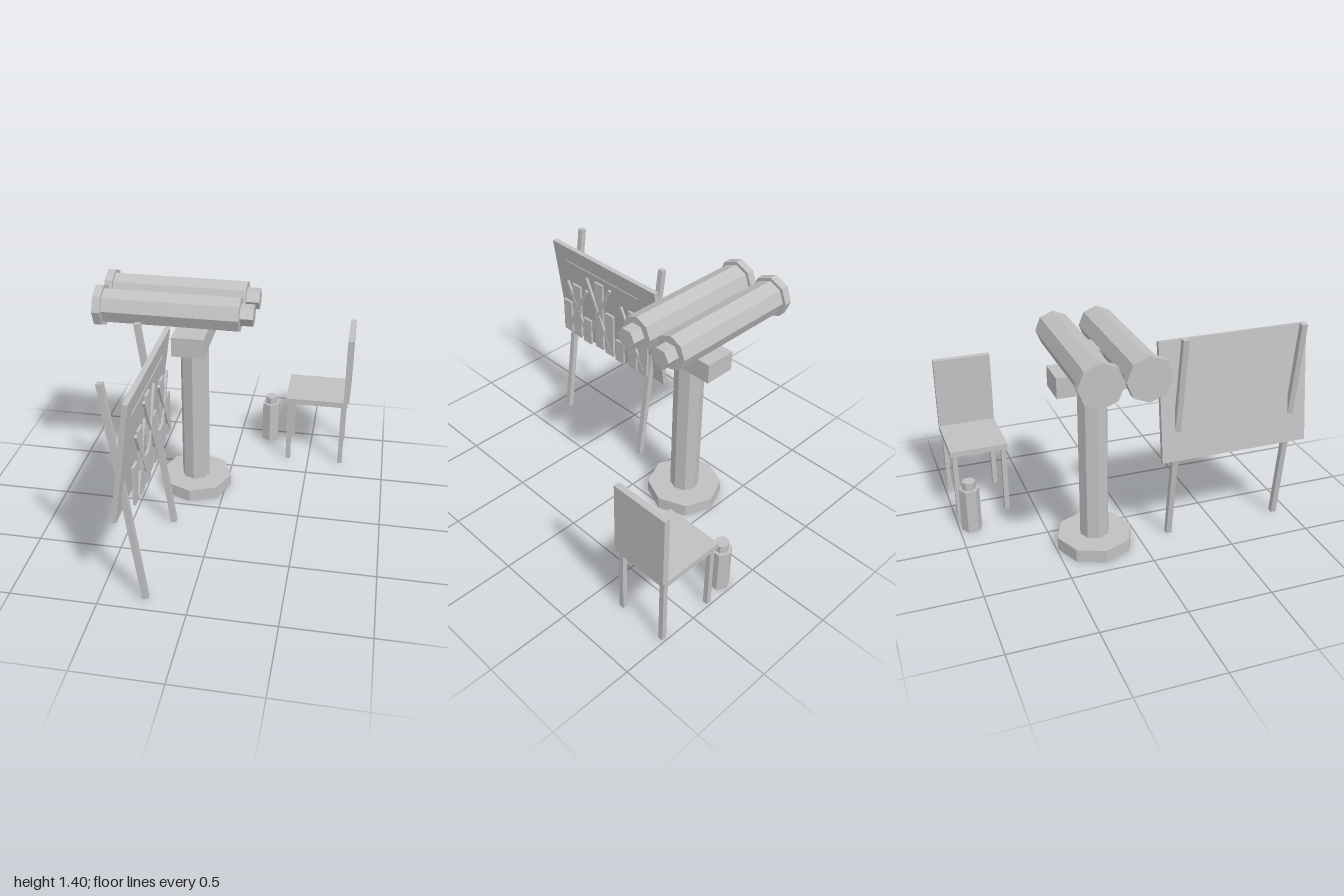
import * as THREE from 'three';

export function createModel() {
  const model = new THREE.Group();
  const grey = new THREE.MeshStandardMaterial({ color: 0xc0c0c0 });
  grey.name = 'plain grey';
  grey.flatShading = true;

  const group = (name) => {
    const g = new THREE.Group();
    g.name = name;
    model.add(g);
    return g;
  };
  const add = (parent, name, geometry, x, y, z) => {
    const mesh = new THREE.Mesh(geometry, grey);
    mesh.name = name;
    mesh.position.set(x, y, z);
    parent.add(mesh);
    return mesh;
  };
  // Box given by its extents on each axis
  const box = (parent, name, [x0, x1], [y0, y1], [z0, z1]) =>
    add(parent, name, new THREE.BoxGeometry(x1 - x0, y1 - y0, z1 - z0),
      (x0 + x1) / 2, (y0 + y1) / 2, (z0 + z1) / 2);
  // Upright prism
  const post = (parent, name, r, y0, y1, sides, x, z) =>
    add(parent, name, new THREE.CylinderGeometry(r, r, y1 - y0, sides), x, (y0 + y1) / 2, z);
  // Prism lying along x
  const barrel = (parent, name, r, x0, x1, sides, y, z) =>
    add(parent, name, new THREE.CylinderGeometry(r, r, x1 - x0, sides).rotateZ(Math.PI / 2),
      (x0 + x1) / 2, y, z);

  // Pedestal viewer
  const cx = -0.197, cz = -0.264;
  const viewer = group('binocularViewer');
  post(viewer, 'base', 0.228, 0, 0.08, 8, cx, cz);
  post(viewer, 'column', 0.088, 0.08, 1.02, 8, cx, cz);
  box(viewer, 'headBlock', [-0.29, -0.097], [1.02, 1.14], [cz - 0.228, cz + 0.228]);
  box(viewer, 'saddle', [-0.28, -0.125], [1.14, 1.27], [cz - 0.052, cz + 0.052]);
  for (const side of [-1, 1]) {
    const z = cz + side * 0.127, y = 1.272;
    barrel(viewer, 'tube', 0.1045, -0.703, 0.104, 8, y, z);
    barrel(viewer, 'lensRim', 0.125, -0.751, -0.703, 8, y, z);
    barrel(viewer, 'eyepiece', 0.064, 0.104, 0.181, 6, y, z);
  }

  // Leaning panel on two sloping legs
  const sign = group('informationBoard');
  add(sign, 'panel', new THREE.BoxGeometry(0.029, 0.709, 0.91), -0.323, 0.915, 0.545).rotation.z = -0.137;
  for (const z of [0.19, 0.903]) {
    add(sign, 'boardLeg', new THREE.BoxGeometry(0.034, 1.328, 0.034), -0.335, 0.663, z).rotation.z = 0.134;
  }
  box(sign, 'horizonLine', [-0.285, -0.27], [1.155, 1.161], [0.239, 0.903]);

  // Skyline of upright slabs, stepped in depth
  const tops = [0.863, 1.019, 0.815, 1.115, 0.938, 0.788, 1.04, 0.89];
  tops.forEach((top, i) => {
    const x = -0.274 + 0.006 * (i % 3), z = 0.893 - 0.1015 * i;
    box(sign, 'skylineSlab', [x - 0.0075, x + 0.0075], [0.638, top], [z - 0.0365, z + 0.0365]);
  });

  // Crossed struts over the skyline: centre z, low y, high y, half width
  for (const [z, y0, y1, w] of [[0.785, 0.67, 1.02, 0.092], [0.587, 0.67, 1.115, 0.108], [0.284, 0.67, 1.045, 0.1]]) {
    for (const lean of [-1, 1]) {
      const strut = add(sign, 'crossStrut',
        new THREE.BoxGeometry(0.014, Math.hypot(y1 - y0, 2 * w), 0.018), -0.265, (y0 + y1) / 2, z);
      strut.rotation.x = lean * Math.atan2(2 * w, y1 - y0);
    }
  }

  // Chair
  const chair = group('chair');
  box(chair, 'seat', [0.333, 0.739], [0.433, 0.47], [-1, -0.646]);
  box(chair, 'backrest', [0.713, 0.75], [0.47, 0.915], [-1, -0.646]);
  for (const x of [0.361, 0.714]) {
    for (const z of [-0.972, -0.67]) {
      box(chair, 'chairLeg', [x - 0.015, x + 0.015], [0, 0.433], [z - 0.015, z + 0.015]);
    }
  }

  // Flask beside the chair
  const flask = group('flask');
  post(flask, 'flaskBody', 0.062, 0, 0.28, 6, 0.208, -0.924);
  post(flask, 'flaskCap', 0.043, 0.28, 0.33, 6, 0.208, -0.924);

  return model;
}
